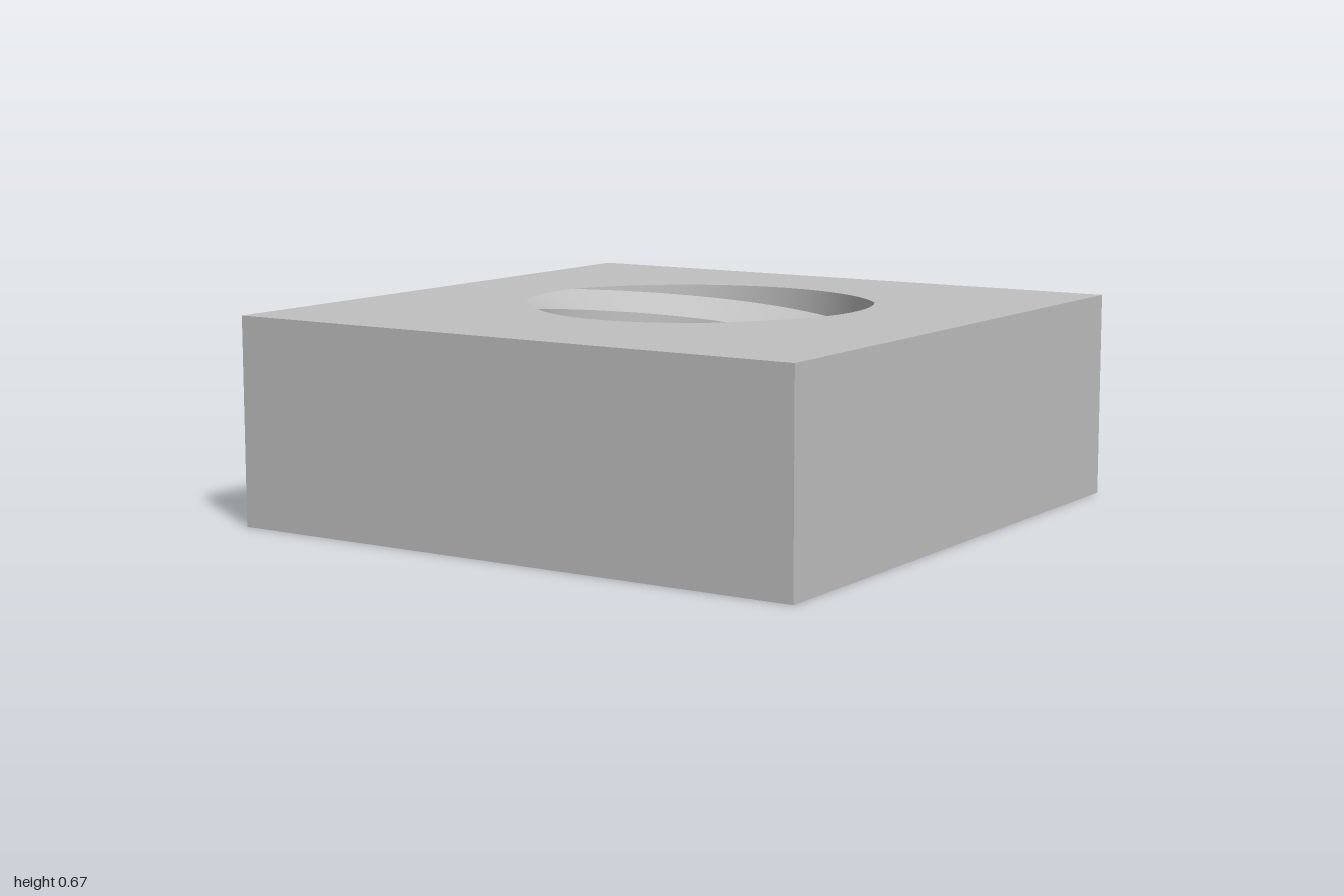
import * as THREE from 'three';

const PITCH = 0.335;
const HEIGHT = 2 * PITCH;
const STEPS = 120; // angular steps per turn
const R_CREST = 0.485;
const R_ROOT = 0.613;

// thread profile: [phase in turns, radius]
const PROFILE = [
  [-27 / 360, R_CREST],
  [39 / 360, R_ROOT],
  [162 / 360, R_ROOT],
  [228 / 360, R_CREST],
  [333 / 360, R_CREST],
];
const STRIP_NAMES = ['threadUpperFlank', 'threadRoot', 'threadLowerFlank', 'threadCrest'];

function radiusAt(phase) {
  const start = PROFILE[0][0];
  const t = start + ((((phase - start) % 1) + 1) % 1);
  for (let k = 0; k < 4; k++) {
    const [a, ra] = PROFILE[k];
    const [b, rb] = PROFILE[k + 1];
    if (t <= b) return THREE.MathUtils.lerp(ra, rb, (t - a) / (b - a));
  }
  return R_CREST;
}

// one helical band of the thread, trimmed at the top and bottom faces
function threadStrip([a, ra], [b, rb]) {
  const positions = [];
  const indices = [];
  const first = Math.round(a * STEPS);
  const last = Math.round((b + 2) * STEPS);
  for (let i = first; i <= last; i++) {
    const turn = i / STEPS;
    const angle = turn * Math.PI * 2;
    for (const edge of [a, b]) {
      const t = THREE.MathUtils.clamp(edge, turn - 2, turn);
      const r = THREE.MathUtils.lerp(ra, rb, (t - a) / (b - a));
      positions.push(r * Math.cos(angle), PITCH * (turn - t), -r * Math.sin(angle));
    }
    if (i < last) {
      const u = (i - first) * 2;
      indices.push(u, u + 2, u + 3, u, u + 3, u + 1);
    }
  }
  const geometry = new THREE.BufferGeometry();
  geometry.setAttribute('position', new THREE.Float32BufferAttribute(positions, 3));
  geometry.setIndex(indices);
  geometry.computeVertexNormals();
  return geometry;
}

// square face with the hole outline; dir is 1 for the top, -1 for the bottom
function capGeometry(dir) {
  const shape = new THREE.Shape([[-1, -1], [1, -1], [1, 1], [-1, 1]].map(([x, y]) => new THREE.Vector2(x, y)));
  const rim = [];
  for (let i = 0; i < STEPS; i++) {
    const angle = (i / STEPS) * Math.PI * 2;
    const r = radiusAt(i / STEPS);
    rim.push(new THREE.Vector2(r * Math.cos(angle), dir * r * Math.sin(angle)));
  }
  shape.holes.push(new THREE.Path(rim));
  return new THREE.ShapeGeometry(shape).rotateX((-dir * Math.PI) / 2);
}

export function createModel() {
  const model = new THREE.Group();
  model.name = 'squareNut';
  const steel = new THREE.MeshStandardMaterial({ color: 0xc0c0c0 });
  steel.name = 'steelGrey';

  const add = (name, geometry, parent = model) => {
    const mesh = new THREE.Mesh(geometry, steel);
    mesh.name = name;
    parent.add(mesh);
    return mesh;
  };

  // flat faces of the block
  add('topFace', capGeometry(1)).position.y = HEIGHT;
  add('bottomFace', capGeometry(-1));
  ['frontSide', 'leftSide', 'backSide', 'rightSide'].forEach((name, k) => {
    const side = new THREE.PlaneGeometry(2, HEIGHT).translate(0, HEIGHT / 2, 1);
    add(name, side.rotateY((k * Math.PI) / 2));
  });

  // right-handed internal thread
  const thread = new THREE.Group();
  thread.name = 'thread';
  model.add(thread);
  STRIP_NAMES.forEach((name, k) => add(name, threadStrip(PROFILE[k], PROFILE[k + 1]), thread));

  return model;
}
